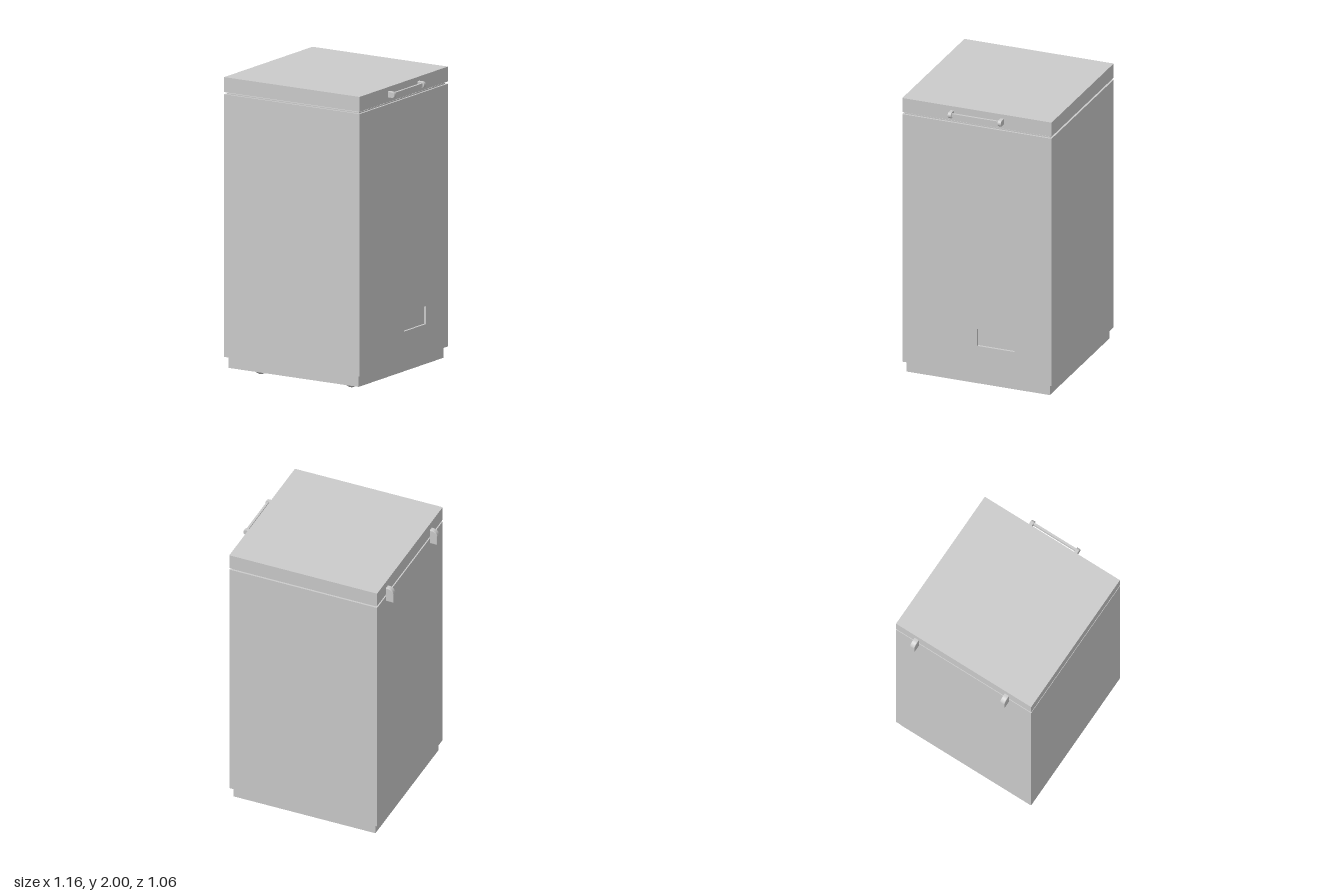
import * as THREE from 'three';

const material = new THREE.MeshStandardMaterial({ color: 0xcccccc });

function add(parent, name, geometry, x = 0, y = 0, z = 0) {
  const mesh = new THREE.Mesh(geometry, material);
  mesh.name = name;
  mesh.position.set(x, y, z);
  parent.add(mesh);
  return mesh;
}

// Box centred on x and z, spanning y0..y1
function slab(parent, name, width, y0, y1) {
  return add(parent, name, new THREE.BoxGeometry(width, y1 - y0, width), 0, (y0 + y1) / 2, 0);
}

// Side profile in x/y, extruded along z and centred on z = 0, with a fine bevelled edge
function bracket(shape, width, bevel) {
  const geometry = new THREE.ExtrudeGeometry(shape, {
    depth: width - 2 * bevel, bevelEnabled: true, bevelThickness: bevel,
    bevelSize: bevel, bevelOffset: -bevel, bevelSegments: 2, curveSegments: 12,
  });
  return geometry.translate(0, 0, -width / 2 + bevel);
}

export function createModel() {
  const model = new THREE.Group();
  model.name = 'chestFreezer';
  const half = 0.528, bottom = 0.125, top = 1.885, recess = 0.016;

  // Cabinet: solid core plus a right wall pierced by the recessed vent
  const cabinet = new THREE.Group();
  cabinet.name = 'cabinet';
  model.add(cabinet);
  add(cabinet, 'cabinetCore', new THREE.BoxGeometry(2 * half - recess, top - bottom, 2 * half),
    -recess / 2, (top + bottom) / 2, 0);
  const wall = new THREE.Shape([[-half, bottom], [half, bottom], [half, top], [-half, top]]
    .map(([u, v]) => new THREE.Vector2(u, v)));
  wall.holes.push(new THREE.Path([[0.002, 0.325], [0.002, 0.445], [0.265, 0.445], [0.265, 0.325]]
    .map(([u, v]) => new THREE.Vector2(u, v))));
  const wallGeometry = new THREE.ExtrudeGeometry(wall, { depth: recess, bevelEnabled: false });
  add(cabinet, 'rightWall', wallGeometry, half - recess, 0, 0).rotation.y = Math.PI / 2;

  // Plinth, seal and lid
  slab(model, 'plinth', 1.014, 0.05, bottom);
  slab(model, 'lidSeal', 1.03, top - 0.005, 1.893);
  slab(model, 'lidLip', 0.916, 1.89, 1.902);
  slab(model, 'lid', 2 * half, 1.9, 2);

  // Domed feet
  for (const x of [-0.353, 0.353]) {
    for (const z of [-0.353, 0.353]) {
      const dome = new THREE.SphereGeometry(0.053, 28, 12, 0, Math.PI * 2, Math.PI / 2, Math.PI / 2);
      add(model, 'foot', dome, x, 0.053, z);
    }
  }

  // Hinges with a rounded top outer corner
  const hinge = new THREE.Shape();
  hinge.moveTo(0.005, 1.845);
  hinge.lineTo(0.005, 1.951);
  hinge.lineTo(-0.012, 1.951);
  hinge.absarc(-0.012, 1.909, 0.042, Math.PI / 2, Math.PI, false);
  hinge.lineTo(-0.054, 1.845);
  hinge.closePath();
  for (const z of [-0.367, 0.338]) add(model, 'hinge', bracket(hinge, 0.036, 0.005), -half, 0, z);

  // Lid handle: two round-nosed posts joined by a bar
  const handle = new THREE.Group();
  handle.name = 'handle';
  model.add(handle);
  const post = new THREE.Shape();
  post.moveTo(-0.005, -0.021);
  post.lineTo(0.03, -0.021);
  post.absarc(0.03, 0, 0.021, -Math.PI / 2, Math.PI / 2, false);
  post.lineTo(-0.005, 0.021);
  post.closePath();
  for (const z of [-0.178, 0.175]) add(handle, 'handlePost', bracket(post, 0.025, 0.003), half, 1.95, z);
  add(handle, 'handleBar', new THREE.BoxGeometry(0.015, 0.026, 0.345), 0.56, 1.95, 0);

  return model;
}
